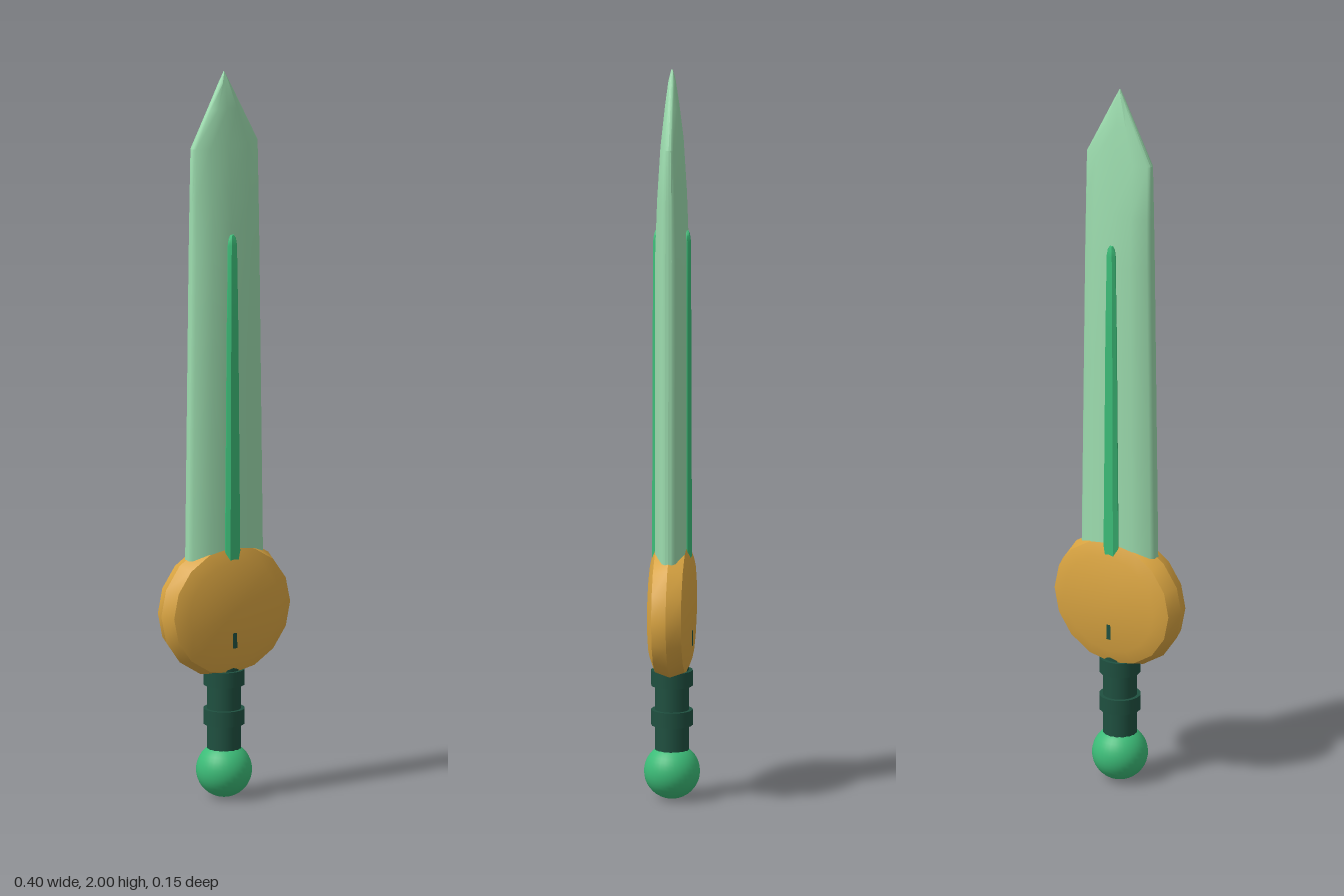
import * as THREE from 'three';
import { toCreasedNormals } from 'three/addons/utils/BufferGeometryUtils.js';

const mat = (name, color) => {
  const m = new THREE.MeshStandardMaterial({ color });
  m.name = name;
  return m;
};

// Skin a unit cross-section, scaled at each level [y, halfWidth, halfDepth], and cap both ends
function loft(section, levels, crease) {
  const n = section.length, pos = [], idx = [];
  for (const [y, w, d] of levels) for (const [x, z] of section) pos.push(x * w, y, z * d);
  for (let i = 0; i < levels.length - 1; i++) {
    for (let k = 0; k < n; k++) {
      const a = i * n + k, b = i * n + (k + 1) % n;
      idx.push(a, b, b + n, a, b + n, a + n);
    }
  }
  const top = (levels.length - 1) * n;
  for (let k = 1; k < n - 1; k++) idx.push(0, k + 1, k, top, top + k, top + k + 1);
  const g = new THREE.BufferGeometry();
  g.setAttribute('position', new THREE.Float32BufferAttribute(pos, 3));
  g.setIndex(idx);
  return toCreasedNormals(g, crease);
}

// Mirror one quarter outline (from +x towards -z) into a full loop
function mirrored(quarter) {
  const half = [...quarter, ...quarter.filter(p => p[0] > 0).reverse().map(([x, z]) => [-x, z])];
  return [...half, ...half.filter(p => p[1] < 0).reverse().map(([x, z]) => [x, -z])];
}

export function createModel() {
  const group = new THREE.Group();
  const paleGreen = mat('pale green', 0x9cdcae);
  const green = mat('emerald green', 0x3cbc78);
  const gold = mat('gold', 0xd9a441);
  const darkGreen = mat('dark green', 0x1f5040);

  const add = (name, geometry, material, y = 0, z = 0) => {
    const mesh = new THREE.Mesh(geometry, material);
    mesh.name = name;
    mesh.position.set(0, y, z);
    group.add(mesh);
    return mesh;
  };

  // Pommel
  add('pommel', new THREE.SphereGeometry(0.075, 32, 20), green, 0.077);

  // Grip with raised bands; the topmost just breaks through the guard
  add('grip', new THREE.CylinderGeometry(0.046, 0.046, 0.36, 16), darkGreen, 0.3);
  for (const y of [0.225, 0.333, 0.442]) {
    add('gripBand', new THREE.CylinderGeometry(0.056, 0.056, 0.042, 16), darkGreen, y);
  }

  // Round guard: bevelled disc facing front and back
  const profile = [[0, -0.055], [0.145, -0.0545], [0.185, -0.04], [0.2, 0],
    [0.185, 0.04], [0.145, 0.0545], [0, 0.055]].map(([r, h]) => new THREE.Vector2(r, h));
  const guard = new THREE.LatheGeometry(profile, 16);
  guard.rotateX(Math.PI / 2);
  guard.scale(1, 0.94, 1);
  add('guard', toCreasedNormals(guard, 0.6), gold, 0.523);

  // Blade: broad lens section, thinning in a curve to the point
  const bladeSection = mirrored([[1, 0], [0.985, -0.22], [0.92, -0.45], [0.56, -1], [0, -1.02]]);
  add('blade', loft(bladeSection, [
    [0.55, 0.121, 0.04], [0.68, 0.12, 0.04], [1.2, 0.113, 0.04], [1.5, 0.109, 0.04],
    [1.65, 0.107, 0.035], [1.8, 0.105, 0.026], [1.9, 0.053, 0.017],
    [1.97, 0.017, 0.009], [2, 0.001, 0.002],
  ], 0.6), paleGreen);

  // Raised rib on each face of the blade
  const ribSection = mirrored([[1, 0], [1, -0.45], [0.55, -1]]);
  for (const side of [1, -1]) {
    add('bladeRib', loft(ribSection, [
      [0.66, 0.024, 0.016], [0.85, 0.022, 0.016], [1.3, 0.018, 0.015],
      [1.53, 0.014, 0.014], [1.548, 0.011, 0.012], [1.558, 0.005, 0.009],
    ], 0.6), green, 0, side * 0.036);
  }

  return group;
}
